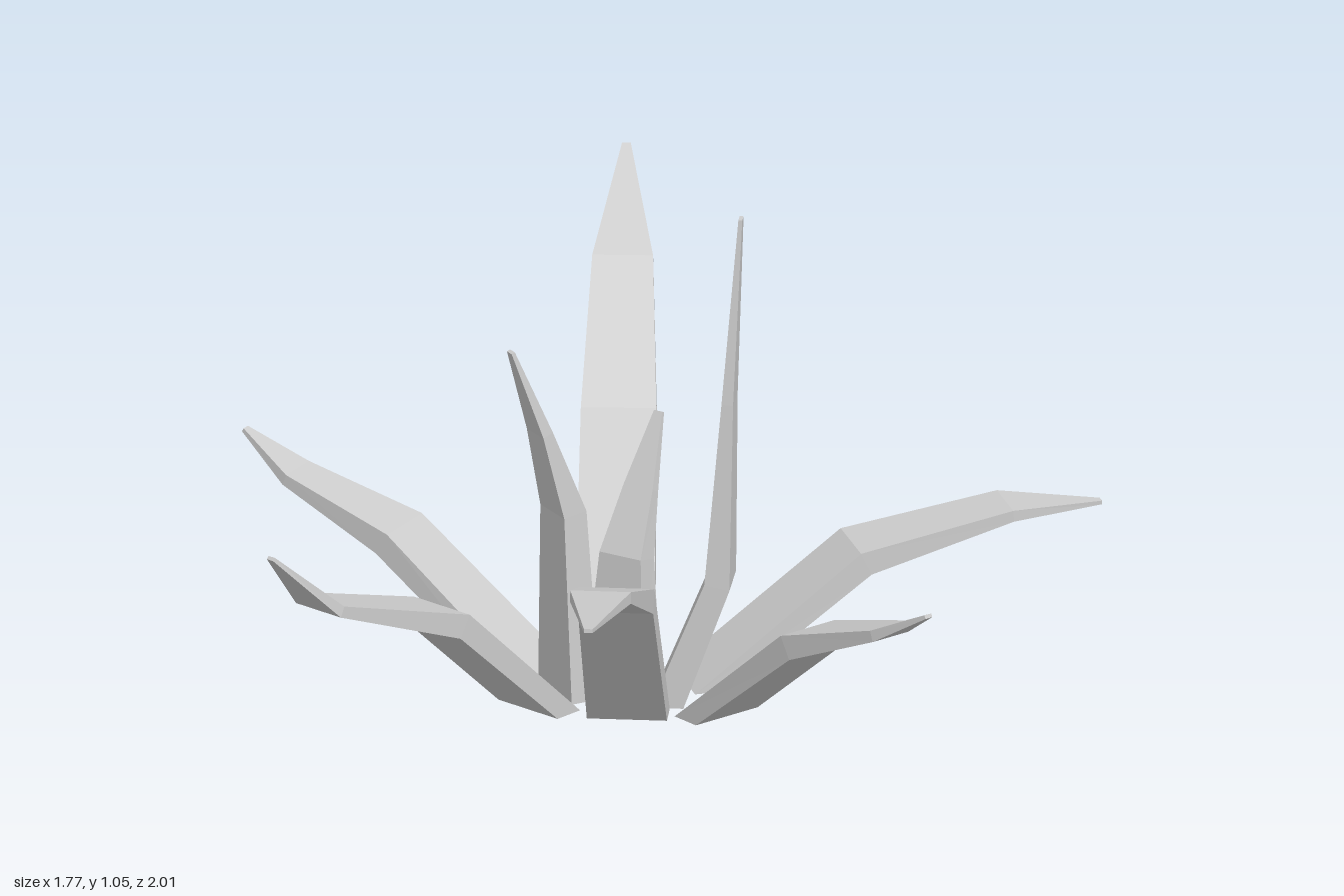
import * as THREE from 'three';

const material = new THREE.MeshStandardMaterial({ color: 0xcccccc, flatShading: true });

// A blade of rectangular cross-section. base and tip are [x, z] on the ground plan;
// profile lists [reach, height] of its upper face, from the base to the tip.
function blade(name, base, tip, heights, reaches, widths) {
  const start = new THREE.Vector3(base[0], 0, base[1]);
  const dir = new THREE.Vector3(tip[0], 0, tip[1]).sub(start);
  const length = dir.length();
  dir.normalize();
  const side = new THREE.Vector3(dir.z, 0, -dir.x);
  const thickness = [0.068, 0.053, 0.024, 0.008];
  const path = reaches.map((r, i) => new THREE.Vector2(r * length, heights[i]));

  // One ring of four corners at each bend
  const rings = path.map((p, i) => {
    const t = path[Math.min(i + 1, 3)].clone().sub(path[Math.max(i - 1, 0)]).normalize();
    const under = i === 0 ? new THREE.Vector2(1, 0) : new THREE.Vector2(t.y, -t.x);
    const q = p.clone().addScaledVector(under, thickness[i]);
    const corner = (c, s) => start.clone().addScaledVector(dir, c.x)
      .addScaledVector(side, s * widths[i] / 2).setY(c.y);
    return [corner(p, 1), corner(p, -1), corner(q, -1), corner(q, 1)];
  });

  // Skin between the rings, then both end caps
  const points = [];
  const quad = (a, b, c, d) => points.push(a, b, c, a, c, d);
  for (let i = 0; i < 3; i++) {
    for (let k = 0; k < 4; k++) {
      const n = (k + 1) % 4;
      quad(rings[i][k], rings[i][n], rings[i + 1][n], rings[i + 1][k]);
    }
  }
  quad(...[...rings[0]].reverse());
  quad(...rings[3]);

  const geometry = new THREE.BufferGeometry().setFromPoints(points);
  geometry.computeVertexNormals();
  const mesh = new THREE.Mesh(geometry, material);
  mesh.name = name;
  return mesh;
}

export function createModel() {
  const group = new THREE.Group();
  group.name = 'grassTuft';
  const broad = [0.165, 0.155, 0.125, 0.018];
  const slim = [0.165, 0.145, 0.095, 0.018];
  const upright = [0.14, 0.1, 0.07, 0.02];

  group.add(
    // Outer blades spreading around the tuft
    blade('backBlade', [-0.105, -0.24], [-0.135, -1], [0, 0.46, 0.7, 0.86], [0, 0.37, 0.7, 1], broad),
    blade('frontBlade', [-0.055, 0], [-0.067, 1], [0, 0.38, 0.52, 0.55], [0, 0.31, 0.7, 1], broad),
    blade('backLeftBlade', [0.045, -0.165], [0.88, -0.468], [0, 0.27, 0.325, 0.307], [0, 0.4, 0.77, 1], broad),
    blade('frontLeftBlade', [0.1, -0.015], [0.595, 0.5], [0, 0.27, 0.35, 0.412], [0, 0.46, 0.82, 1], slim),
    blade('frontRightBlade', [-0.22, -0.03], [-0.745, 0.63], [0, 0.3, 0.415, 0.55], [0, 0.39, 0.82, 1], broad),
    blade('backRightBlade', [-0.23, -0.17], [-0.88, -0.48], [0, 0.27, 0.345, 0.412], [0, 0.48, 0.83, 1], slim),
    // Steep inner blades
    blade('tallInnerBlade', [-0.01, -0.075], [0.165, -0.068], [0, 0.27, 0.66, 1.055], [0, 0.63, 0.82, 1], [0.14, 0.122, 0.085, 0.025]),
    blade('middleInnerBlade', [-0.157, -0.105], [-0.297, -0.012], [0, 0.41, 0.59, 0.772], [0, 0.13, 0.55, 1], upright),
    blade('shortInnerBlade', [-0.1, -0.17], [-0.02, -0.32], [0, 0.26, 0.39, 0.532], [0, 0.14, 0.55, 1], upright),
  );
  return group;
}
